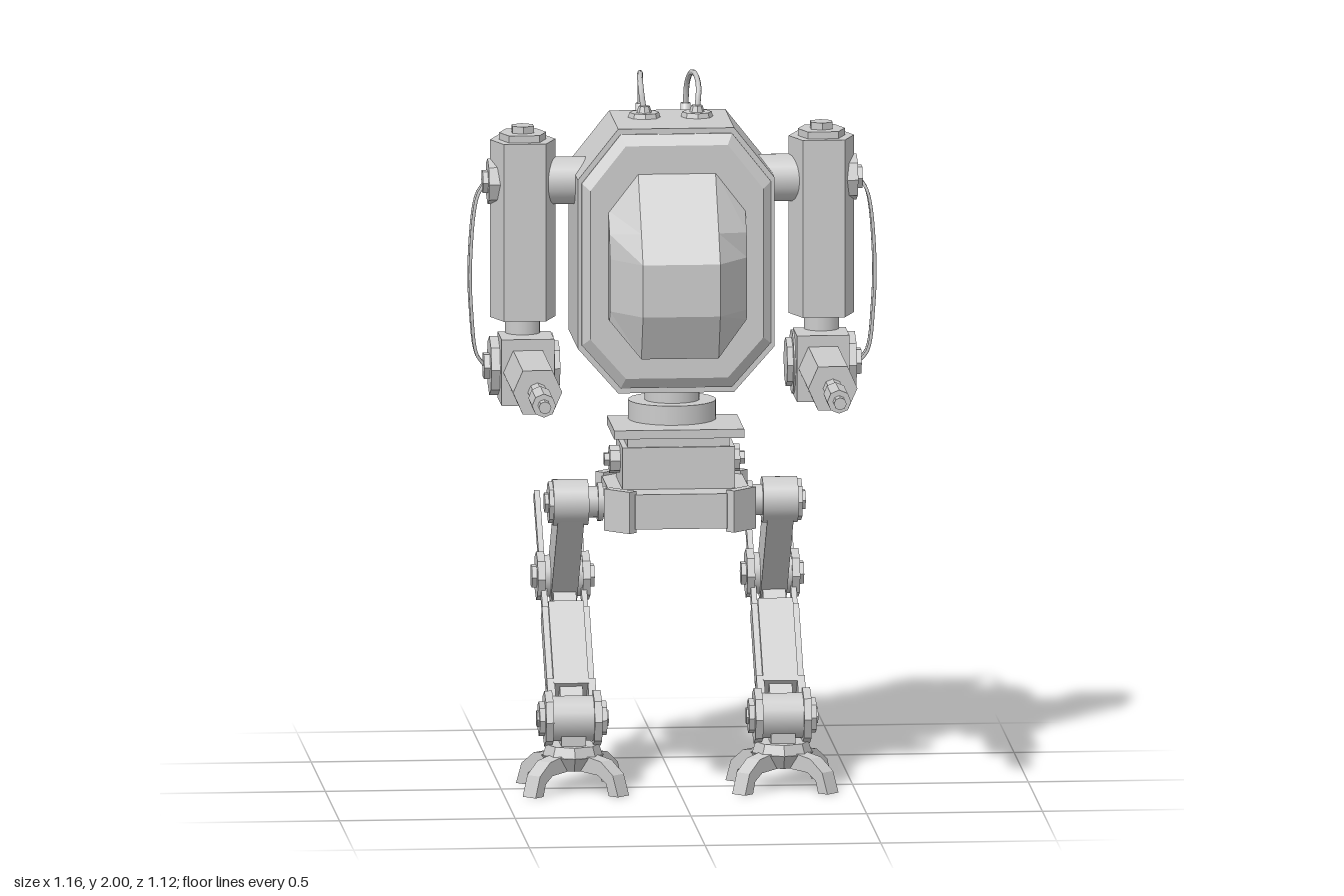
import * as THREE from 'three';

const smooth = new THREE.MeshStandardMaterial({ color: 0xcccccc });
const flat = new THREE.MeshStandardMaterial({ color: 0xcccccc, flatShading: true });

function add(parent, name, geo, x = 0, y = 0, z = 0, mat = flat) {
  const m = new THREE.Mesh(geo, mat);
  m.name = name;
  m.position.set(x, y, z);
  parent.add(m);
  return m;
}
const box = (g, name, w, h, d, x, y, z) => add(g, name, new THREE.BoxGeometry(w, h, d), x, y, z);

// Cylinder along an axis; few sides are faceted, many are smooth
function cyl(g, name, axis, r1, r2, len, sides, x, y, z) {
  const geo = new THREE.CylinderGeometry(r1, r2, len, sides);
  if (axis === 'x') geo.rotateZ(-Math.PI / 2);
  if (axis === 'z') geo.rotateX(Math.PI / 2);
  return add(g, name, geo, x, y, z, sides > 8 ? smooth : flat);
}

const shapeOf = pts => new THREE.Shape(pts.map(p => new THREE.Vector2(...p)));
const extrude = (shape, depth) => new THREE.ExtrudeGeometry(shape, { depth, bevelEnabled: false });
// Plan outline (x, z) raised along y
const upright = (pts, h) => extrude(shapeOf(pts.map(([x, z]) => [x, -z])), h).rotateX(-Math.PI / 2);

// Closed solid through cross-sections with equal point counts
function loft(loops) {
  const n = loops[0].length, tris = [];
  for (let i = 0; i + 1 < loops.length; i++) for (let j = 0; j < n; j++) {
    const k = (j + 1) % n, [a, b, c, d] = [loops[i][j], loops[i][k], loops[i + 1][k], loops[i + 1][j]];
    tris.push([a, b, c], [a, c, d]);
  }
  const last = loops[loops.length - 1];
  for (let j = 1; j + 1 < n; j++) {
    tris.push([loops[0][0], loops[0][j + 1], loops[0][j]], [last[0], last[j], last[j + 1]]);
  }
  let vol = 0;
  for (const [a, b, c] of tris) {
    vol += new THREE.Vector3(...a).dot(new THREE.Vector3(...b).cross(new THREE.Vector3(...c)));
  }
  const pos = tris.flatMap(([a, b, c]) => (vol > 0 ? [a, b, c] : [a, c, b]).flat());
  const geo = new THREE.BufferGeometry();
  geo.setAttribute('position', new THREE.Float32BufferAttribute(pos, 3));
  geo.computeVertexNormals();
  return geo;
}

function tube(g, name, pts, r) {
  const curve = new THREE.CatmullRomCurve3(pts.map(p => new THREE.Vector3(...p)));
  add(g, name, new THREE.TubeGeometry(curve, 28, r, 6), 0, 0, 0, smooth);
}

// Bar between two points in the side plane
function bar(g, name, x, [y1, z1], [y2, z2], w, d) {
  const dy = y2 - y1, dz = z2 - z1;
  const m = box(g, name, w, Math.hypot(dy, dz), d, x, (y1 + y2) / 2, (z1 + z2) / 2);
  m.rotation.x = Math.atan2(dz, dy);
  return m;
}

// Hull octagon scaled about its middle
const OCT = [[0.165, 0.38], [-0.165, 0.38], [-0.28, 0.235], [-0.28, -0.25],
  [-0.165, -0.38], [0.165, -0.38], [0.28, -0.25], [0.28, 0.235]];
const oct = s => OCT.map(([x, y]) => [x * s, 1.51 + y * s]);
const octAt = (s, z) => oct(s).map(([x, y]) => [x, y, z]);

function buildHull(g) {
  add(g, 'hull', extrude(shapeOf(oct(1)), 0.32), 0, 0, -0.34);
  add(g, 'canopyFrame', loft([octAt(0.96, -0.03), octAt(0.96, -0.015), octAt(0.88, 0.005)]));
  // Faceted canopy, four side profiles (y, z) swept across x
  const mid = [[1.77, 0], [1.61, 0.12], [1.53, 0.175], [1.38, 0.175], [1.25, 0.115], [1.25, 0]];
  const side = [[1.66, 0], [1.6, 0.05], [1.53, 0.06], [1.38, 0.06], [1.35, 0.05], [1.35, 0]];
  const at = (p, x) => p.map(([y, z]) => [x, y, z]);
  add(g, 'canopy', loft([at(side, -0.195), at(mid, -0.11), at(mid, 0.11), at(side, 0.195)]));
  // Rear frame with a ring of vent openings
  const frame = shapeOf(oct(0.89)), outer = oct(0.8), inner = oct(0.56);
  outer.forEach((a, i) => {
    const k = (i + 1) % 8, mix = (p, q, t) => [p[0] + (q[0] - p[0]) * t, p[1] + (q[1] - p[1]) * t];
    frame.holes.push(new THREE.Path([mix(a, outer[k], 0.1), mix(a, outer[k], 0.9),
      mix(inner[i], inner[k], 0.9), mix(inner[i], inner[k], 0.1)].map(p => new THREE.Vector2(...p))));
  });
  add(g, 'rearVentFrame', extrude(frame, 0.04), 0, 0, -0.38);
  add(g, 'rearHub', loft([octAt(0.55, -0.375), octAt(0.4, -0.415)]));
}

function buildBackpack(g) {
  // Rack of windowed panels around the tanks
  const plan = [[-0.14, -0.41], [-0.14, -0.5], [-0.1, -0.548], [0.1, -0.548], [0.14, -0.5], [0.14, -0.41]];
  add(g, 'rackFloor', upright(plan, 0.04), 0, 1.32, 0);
  for (let i = 0; i < 6; i++) {
    const a = plan[i], b = plan[(i + 1) % 6], len = Math.hypot(b[0] - a[0], b[1] - a[1]);
    const s = shapeOf([[0, 0], [len, 0], [len, 0.32], [0, 0.32]]);
    const m = len * 0.2, x0 = i === 2 ? 0.025 : m, x1 = len - x0;
    if (i < 5) s.holes.push(new THREE.Path([[x0, 0.06], [x1, 0.06], [x1, 0.25], [x0, 0.25]].map(p => new THREE.Vector2(...p))));
    add(g, 'rackPanel', extrude(s, 0.012), a[0], 1.32, a[1]).rotation.y = -Math.atan2(b[1] - a[1], b[0] - a[0]);
  }
  box(g, 'rackMount', 0.28, 0.3, 0.05, 0, 1.48, -0.395);
  const profile = [[0, 1.34], [0.06, 1.34], [0.06, 1.78], [0.052, 1.82], [0.035, 1.85], [0.014, 1.865], [0.014, 1.885], [0, 1.885]]
    .map(p => new THREE.Vector2(...p));
  for (const s of [-1, 1]) {
    add(g, 'tank', new THREE.LatheGeometry(profile, 20), s * 0.064, 0, -0.485, smooth);
    cyl(g, 'hosePort', 'y', 0.042, 0.046, 0.014, 8, s * 0.075, 1.897, -0.22);
    cyl(g, 'hoseNozzle', 'y', 0.016, 0.022, 0.02, 8, s * 0.075, 1.912, -0.22);
    tube(g, 'hose', [[s * 0.064, 1.87, -0.485], [s * 0.066, 1.94, -0.465], [s * 0.072, 1.985, -0.4],
      [s * 0.08, 1.992, -0.31], [s * 0.082, 1.965, -0.245], [s * 0.075, 1.9, -0.22]], 0.008);
  }
}

function buildArm(g, s) {
  const X = s * 0.425, Z = -0.168;
  cyl(g, 'shoulderAxle', 'x', 0.068, 0.068, 0.17, 20, s * 0.28, 1.72, Z);
  // Upper arm: six-sided column with cap
  const col = k => [[0.093, 0], [0.06, 0.088], [-0.06, 0.088], [-0.093, 0], [-0.06, -0.088], [0.06, -0.088]].map(([x, z]) => [x * k, z * k]);
  add(g, 'upperArm', upright(col(1), 0.51), X, 1.33, Z);
  add(g, 'armCap', upright(col(0.72), 0.02), X, 1.84, Z);
  cyl(g, 'armCapBolt', 'y', 0.035, 0.035, 0.02, 6, X, 1.87, Z);
  cyl(g, 'shoulderDisc', 'x', 0.066, 0.066, 0.05, 8, s * 0.5, 1.72, Z);
  cyl(g, 'shoulderBolt', 'x', 0.035, 0.035, 0.02, 6, s * 0.53, 1.72, Z);
  cyl(g, 'elbowNeck', 'y', 0.05, 0.05, 0.08, 16, X, 1.3, Z);
  // Elbow drum, housing and hub
  cyl(g, 'elbowDrum', 'x', 0.092, 0.092, 0.15, 20, s * 0.415, 1.19, Z);
  box(g, 'elbowHousing', 0.15, 0.19, 0.14, s * 0.42, 1.19, -0.11);
  cyl(g, 'elbowDisc', 'x', 0.085, 0.085, 0.03, 8, s * 0.505, 1.19, Z);
  cyl(g, 'elbowBolt', 'x', 0.04, 0.04, 0.02, 6, s * 0.527, 1.19, Z);
  cyl(g, 'elbowInnerDisc', 'x', 0.07, 0.07, 0.02, 8, s * 0.333, 1.19, Z);
  // Forearm and stepped barrel
  const hex = [[0.07, 0], [0.042, 0.063], [-0.042, 0.063], [-0.07, 0], [-0.042, -0.063], [0.042, -0.063]];
  add(g, 'forearm', extrude(shapeOf(hex), 0.34), s * 0.42, 1.19, -0.04);
  [[0.028, 0.28, 0.4], [0.034, 0.39, 0.525], [0.018, 0.52, 0.562]].forEach(([r, a, b]) =>
    cyl(g, 'barrel', 'z', r, r, b - a, 8, s * 0.42, 1.19, (a + b) / 2));
  for (const k of [-1, 1]) {
    tube(g, 'armCable', [[s * 0.53, 1.72, Z + k * 0.01], [s * 0.555, 1.68, Z + k * 0.018], [s * 0.575, 1.5, Z + k * 0.024],
      [s * 0.572, 1.35, Z + k * 0.022], [s * 0.555, 1.22, Z + k * 0.016], [s * 0.53, 1.19, Z + k * 0.01]], 0.005);
  }
}

function buildWaist(g) {
  cyl(g, 'neck', 'y', 0.078, 0.078, 0.08, 24, 0, 1.11, -0.165);
  cyl(g, 'turntable', 'y', 0.125, 0.125, 0.055, 24, 0, 1.06, -0.165);
  box(g, 'waistPlate', 0.37, 0.025, 0.26, 0.004, 1.02, -0.09);
  box(g, 'waistTrim', 0.29, 0.04, 0.21, 0.004, 0.99, -0.09);
  box(g, 'waistBlock', 0.32, 0.13, 0.225, 0.004, 0.915, -0.09);
  for (const s of [-1, 1]) {
    cyl(g, 'waistBolt', 'x', 0.04, 0.04, 0.03, 8, s * 0.17, 0.93, -0.09);
    cyl(g, 'waistBoltCore', 'x', 0.02, 0.02, 0.02, 6, s * 0.19, 0.93, -0.09);
  }
  // Pelvis with chamfered corners and corner plates
  const plan = [[0.2, 0.13], [0.13, 0.2], [-0.13, 0.2], [-0.2, 0.13], [-0.2, -0.13], [-0.13, -0.2], [0.13, -0.2], [0.2, -0.13]];
  add(g, 'pelvis', upright(plan, 0.1), 0.004, 0.76, -0.088);
  for (const sx of [-1, 1]) for (const sz of [-1, 1]) {
    box(g, 'cornerPlate', 0.095, 0.12, 0.03, sx * 0.172 + 0.004, 0.81, -0.088 + sz * 0.172).rotation.y = sx * sz * Math.PI / 4;
  }
}

function buildLeg(g, s) {
  const X = s * 0.298, hip = [0.81, -0.075], knee = [0.555, -0.335], ankle = [0.203, 0.013];
  const joint = (name, r, w, sides, dx, p) => cyl(g, name, 'x', r, r, w, sides, X + s * dx, ...p);
  joint('hipAxle', 0.045, 0.1, 16, -0.08, hip);
  joint('hipCollar', 0.055, 0.015, 16, -0.085, hip);
  joint('hipKnuckle', 0.066, 0.1, 20, 0, hip);
  joint('hipDisc', 0.06, 0.016, 8, 0.054, hip);
  joint('hipBolt', 0.03, 0.014, 6, 0.066, hip);
  bar(g, 'thigh', X, hip, [0.51, -0.36], 0.075, 0.13);
  // Knee with side discs and rear rods
  joint('kneeAxle', 0.06, 0.15, 16, 0, knee);
  bar(g, 'shinPiston', X, [0.53, -0.31], ankle, 0.065, 0.055);
  bar(g, 'shin', X, [0.47, -0.25], [0.265, -0.055], 0.1, 0.095);
  bar(g, 'shinGuard', X, [0.465, -0.245], [0.27, -0.06], 0.135, 0.06);
  for (const k of [-1, 1]) {
    joint('kneeDisc', 0.07, 0.022, 8, k * 0.064, knee);
    joint('kneeBolt', 0.035, 0.016, 6, k * 0.081, knee);
    bar(g, 'kneeRod', X + k * 0.057, [0.43, -0.21], [0.755, -0.545], 0.016, 0.036);
    bar(g, 'ankleFork', X + k * 0.058, [0.28, -0.065], ankle, 0.022, 0.085);
    joint('ankleDisc', 0.08, 0.022, 8, k * 0.069, ankle);
    joint('ankleCap', 0.05, 0.02, 8, k * 0.086, ankle);
    joint('ankleBolt', 0.025, 0.012, 6, k * 0.096, ankle);
  }
  joint('ankleAxle', 0.065, 0.13, 16, 0, ankle);
  // Foot hub and four hooked toes set diagonally
  box(g, 'footPost', 0.07, 0.1, 0.09, X, 0.15, 0.015);
  cyl(g, 'footHub', 'y', 0.075, 0.085, 0.03, 8, X, 0.115, 0.018);
  cyl(g, 'footSole', 'y', 0.09, 0.06, 0.04, 8, X, 0.08, 0.018);
  const toe = shapeOf([[0.04, 0.06], [0.115, 0.055], [0.145, 0.035], [0.155, 0], [0.19, 0], [0.17, 0.06], [0.125, 0.095], [0.04, 0.11]]);
  for (let i = 0; i < 4; i++) {
    const geo = extrude(toe, 0.048).translate(0, 0, -0.024).rotateY(Math.PI / 4 + i * Math.PI / 2);
    add(g, 'toe', geo, X, 0, 0.018);
  }
}

export function createModel() {
  const root = new THREE.Group();
  root.name = 'walkerRobot';
  const part = (name, build, ...args) => {
    const g = new THREE.Group();
    g.name = name;
    build(g, ...args);
    root.add(g);
  };
  part('body', buildHull);
  part('backpack', buildBackpack);
  part('waist', buildWaist);
  for (const [side, s] of [['left', 1], ['right', -1]]) {
    part(side + 'Arm', buildArm, s);
    part(side + 'Leg', buildLeg, s);
  }
  return root;
}
